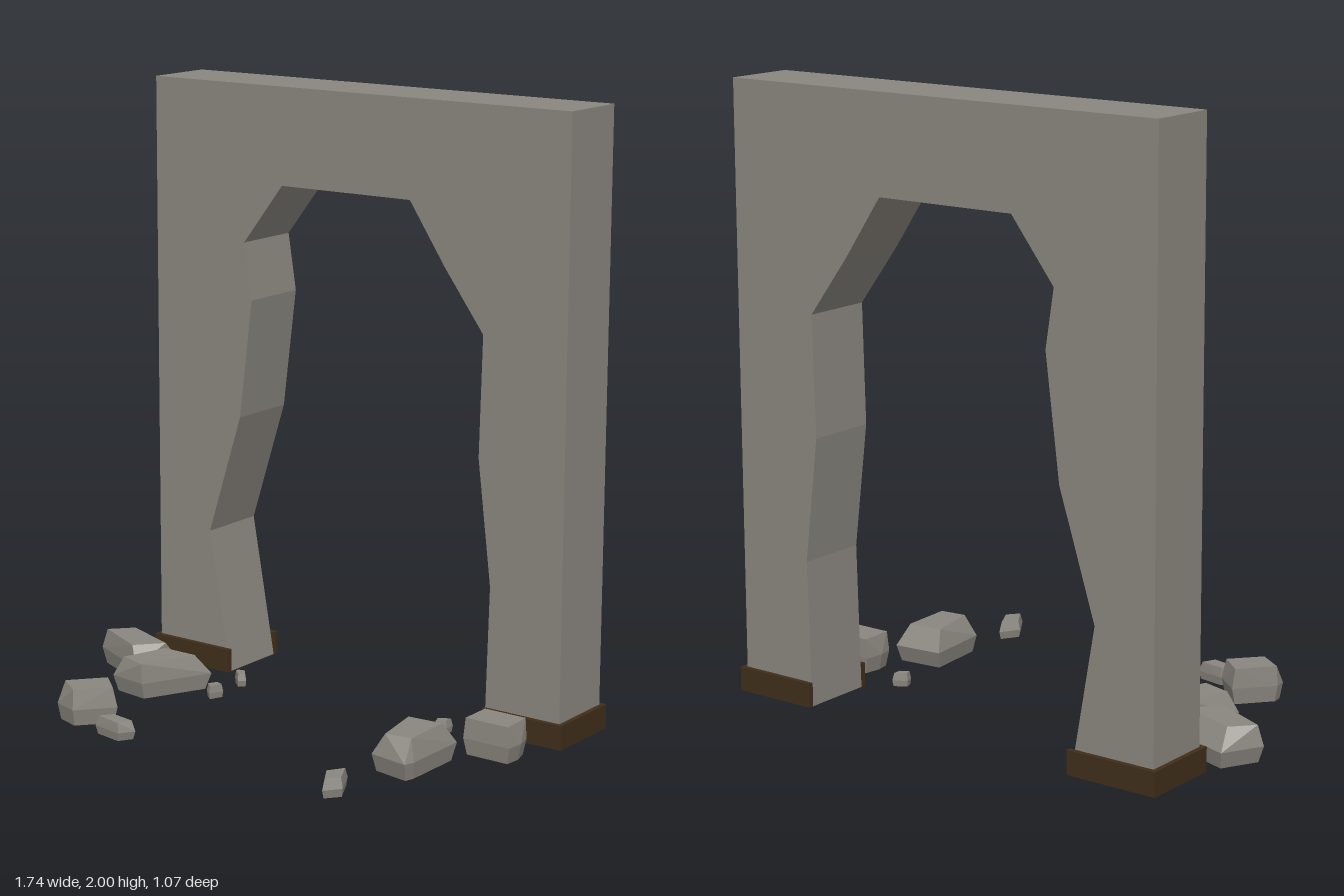
import * as THREE from 'three';
import { ConvexGeometry } from 'three/addons/geometries/ConvexGeometry.js';

export function createModel() {
  const model = new THREE.Group();
  model.name = 'brokenArchway';
  const stone = new THREE.MeshStandardMaterial({ name: 'stone', color: 0x8a867f });
  const wood = new THREE.MeshStandardMaterial({ name: 'darkWood', color: 0x402e1a });

  const add = (name, geometry, material, parent = model) => {
    const mesh = new THREE.Mesh(geometry, material);
    mesh.name = name;
    parent.add(mesh);
    return mesh;
  };

  // Wall with a ragged opening
  const back = -0.522, front = -0.28;
  const outline = [
    [-0.755, 0], [-0.455, 0], [-0.54, 0.48], [-0.41, 0.89], [-0.36, 1.29], [-0.39, 1.48],
    [-0.235, 1.68], [0.265, 1.68], [0.4, 1.48], [0.545, 1.285], [0.535, 0.89],
    [0.585, 0.48], [0.572, 0], [0.85, 0], [0.85, 2], [-0.755, 2],
  ].map(([x, y]) => new THREE.Vector2(x, y));
  const wall = new THREE.ExtrudeGeometry(new THREE.Shape(outline), { depth: front - back, bevelEnabled: false });
  add('wall', wall.translate(0, 0, back), stone);

  // Skirting boards on the front, back and outer side of each pillar
  const t = 0.016, h = 0.08;
  const board = (name, x0, x1, z0, z1, parent) => {
    const g = new THREE.BoxGeometry(x1 - x0, h, z1 - z0);
    add(name, g.translate((x0 + x1) / 2, h / 2, (z0 + z1) / 2), wood, parent);
  };
  for (const [name, x0, x1, outer] of [
    ['rightSkirting', -0.771, -0.45, -0.771],
    ['leftSkirting', 0.57, 0.866, 0.85],
  ]) {
    const group = new THREE.Group();
    group.name = name;
    board('frontBoard', x0, x1, front, front + t, group);
    board('backBoard', x0, x1, back - t, back, group);
    board('sideBoard', outer, outer + t, back, front, group);
    model.add(group);
  }

  // Rubble: widest outline at mid height, a smaller base, and a top outline
  const rubble = new THREE.Group();
  rubble.name = 'rubble';
  model.add(rubble);
  const rock = (height, mid, top) => {
    const cx = mid.reduce((s, p) => s + p[0], 0) / mid.length;
    const cz = mid.reduce((s, p) => s + p[1], 0) / mid.length;
    const shrink = (k) => mid.map(([x, z]) => [cx + (x - cx) * k, cz + (z - cz) * k]);
    const ring = (pts, y) => pts.map(([x, z]) => new THREE.Vector3(x, y, z));
    const points = [
      ...ring(shrink(0.88), 0),
      ...ring(mid, height * 0.45),
      ...ring(top || shrink(0.8), height),
    ];
    add('rock', new ConvexGeometry(points), stone, rubble);
  };

  // Large rocks
  rock(0.12,
    [[-0.8, -0.23], [-0.575, -0.15], [-0.63, 0.01], [-0.87, -0.1]],
    [[-0.785, -0.175], [-0.59, -0.1], [-0.665, -0.015], [-0.85, -0.105]]);
  rock(0.12,
    [[-0.39, -0.095], [-0.5, 0.135], [-0.64, 0.115], [-0.56, -0.045]],
    [[-0.555, -0.055], [-0.43, -0.055], [-0.505, 0.13], [-0.605, 0.1]]);
  rock(0.12,
    [[-0.5, 0.29], [-0.41, 0.365], [-0.505, 0.475], [-0.595, 0.445], [-0.6, 0.405]],
    [[-0.505, 0.3], [-0.425, 0.37], [-0.51, 0.465], [-0.595, 0.405]]);
  rock(0.12,
    [[0.64, -0.17], [0.8, -0.17], [0.815, -0.115], [0.81, -0.055], [0.64, -0.055], [0.63, -0.105]],
    [[0.645, -0.17], [0.795, -0.17], [0.8, -0.06], [0.645, -0.06]]);
  rock(0.125,
    [[0.48, 0.01], [0.65, -0.005], [0.65, 0.23], [0.64, 0.265], [0.5, 0.24]],
    [[0.505, 0.05], [0.625, 0.04], [0.63, 0.215], [0.54, 0.225]]);

  // Small rocks
  rock(0.06, [[-0.365, 0.43], [-0.265, 0.45], [-0.295, 0.5], [-0.405, 0.48]],
    [[-0.365, 0.435], [-0.28, 0.45], [-0.3, 0.495], [-0.395, 0.475]]);
  rock(0.06, [[0.515, 0.385], [0.565, 0.48], [0.525, 0.53], [0.475, 0.45]]);
  rock(0.045, [[-0.365, -0.205], [-0.335, -0.21], [-0.31, -0.18], [-0.33, -0.16], [-0.365, -0.19]]);
  rock(0.045, [[-0.335, -0.06], [-0.305, -0.05], [-0.325, 0], [-0.355, -0.025]]);
  rock(0.045, [[0.45, -0.19], [0.495, -0.215], [0.495, -0.18], [0.46, -0.16]]);

  return model;
}
